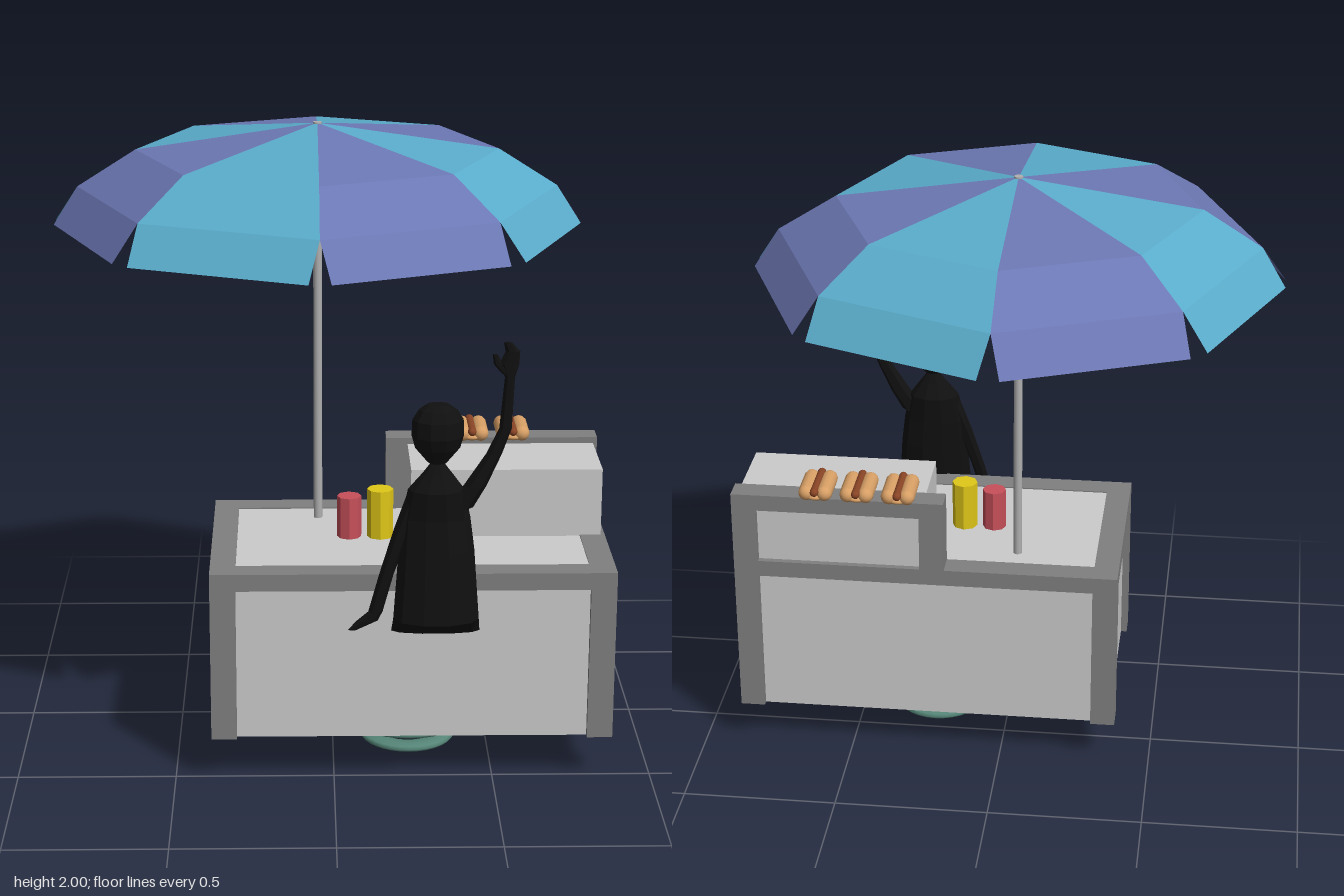
import * as THREE from 'three';

const mat = (color, extra = {}) => new THREE.MeshStandardMaterial({ color, ...extra });

// Box given by its min and max corners
function box(parent, name, material, [x0, y0, z0], [x1, y1, z1]) {
  const m = new THREE.Mesh(new THREE.BoxGeometry(x1 - x0, y1 - y0, z1 - z0), material);
  m.position.set((x0 + x1) / 2, (y0 + y1) / 2, (z0 + z1) / 2);
  m.name = name;
  parent.add(m);
  return m;
}

// Closed loft through horizontal elliptical rings [y, cx, rx, cz, rz], bottom to top
function loft(rings, sides) {
  const pos = [], idx = [];
  for (const [y, cx, rx, cz, rz] of rings) {
    for (let j = 0; j < sides; j++) {
      const a = (j / sides) * Math.PI * 2;
      pos.push(cx + rx * Math.cos(a), y, cz + rz * Math.sin(a));
    }
  }
  for (let i = 0; i < rings.length - 1; i++) {
    for (let j = 0; j < sides; j++) {
      const k = (j + 1) % sides;
      const p = i * sides + j, q = i * sides + k;
      idx.push(p, p + sides, q, q, p + sides, q + sides);
    }
  }
  const top = (rings.length - 1) * sides;
  for (let j = 1; j < sides - 1; j++) {
    idx.push(0, j, j + 1);
    idx.push(top, top + j + 1, top + j);
  }
  const g = new THREE.BufferGeometry();
  g.setAttribute('position', new THREE.Float32BufferAttribute(pos, 3));
  g.setIndex(idx);
  g.computeVertexNormals();
  return g;
}

function makeCart() {
  const cart = new THREE.Group();
  cart.name = 'cart';
  const panel = mat(0xcccccc), frame = mat(0x808080);
  const X0 = -0.385, X1 = 0.873, Z0 = -0.16, Z1 = 0.545, W = 0.08;
  const B = 0.15, R = 0.645, T = 0.7, H = 0.94, S = 0.18, I = 0.02, D = 0.04;

  // Corner posts
  for (const x of [X0, X1 - W]) for (const z of [Z0, Z1 - W])
    box(cart, 'cornerPost', frame, [x, B, z], [x + W, R, z + W]);
  // Counter rim
  for (const z of [Z0, Z1 - W]) box(cart, 'counterRail', frame, [X0, R, z], [X1, T, z + W]);
  for (const x of [X0, X1 - W]) box(cart, 'counterRail', frame, [x, R, Z0 + W], [x + W, T, Z1 - W]);
  // Recessed side panels and counter
  box(cart, 'frontPanel', panel, [X0 + W, B, Z1 - D], [X1 - W, R, Z1 - I]);
  box(cart, 'backPanel', panel, [X0 + W, B, Z0 + I], [X1 - W, R, Z0 + D]);
  box(cart, 'rightPanel', panel, [X0 + I, B, Z0 + W], [X0 + D, R, Z1 - W]);
  box(cart, 'leftPanel', panel, [X1 - D, B, Z0 + W], [X1 - I, R, Z1 - W]);
  box(cart, 'counterTop', panel, [X0 + W, R + 0.02, Z0 + W], [X1 - W, T - 0.004, Z1 - W]);
  // Raised back frame and the serving box in front of it
  for (const x of [S, X1 - W]) box(cart, 'raisedPost', frame, [x, T, Z0], [x + W, H - 0.055, Z0 + W]);
  box(cart, 'raisedRail', frame, [S, H - 0.055, Z0], [X1, H, Z0 + W]);
  box(cart, 'raisedPanel', panel, [S + W, T, Z0 + I], [X1 - W, H - 0.055, Z0 + W]);
  box(cart, 'servingBox', panel, [0.25, T - 0.004, Z0 + W], [0.86, 0.92, 0.195]);
  return cart;
}

function makeUmbrella() {
  const umbrella = new THREE.Group();
  umbrella.name = 'umbrella';
  const pole = new THREE.Mesh(new THREE.CylinderGeometry(0.014, 0.014, 1.31, 12), mat(0xb0b0b0));
  pole.position.y = 1.348;
  pole.name = 'pole';
  umbrella.add(pole);

  // One gore: apex, shoulder, rim, and a hanging flap narrower than its gore
  const at = (r, y, a) => [r * Math.cos(a), y, r * Math.sin(a)];
  const Q = Math.PI / 4, gap = 0.04;
  const pos = [
    ...at(0, 2, 0),
    ...at(0.57, 1.917, 0), ...at(0.57, 1.917, Q),
    ...at(0.755, 1.8, 0), ...at(0.755, 1.8, Q),
    ...at(0.83, 1.685, gap), ...at(0.83, 1.685, Q - gap),
  ];
  const gore = new THREE.BufferGeometry();
  gore.setAttribute('position', new THREE.Float32BufferAttribute(pos, 3));
  gore.setIndex([0, 2, 1, 1, 2, 3, 3, 2, 4, 3, 4, 5, 5, 4, 6]);
  gore.computeVertexNormals();
  const colors = [0x5aaccb, 0x6c78b4].map(c => mat(c, { flatShading: true, side: THREE.DoubleSide }));
  for (let k = 0; k < 8; k++) {
    const m = new THREE.Mesh(gore, colors[k % 2]);
    m.rotation.y = -k * Q;
    m.name = 'canopyPanel';
    umbrella.add(m);
  }
  umbrella.position.x = -0.045;
  return umbrella;
}

function makeFigure() {
  const figure = new THREE.Group();
  figure.name = 'figure';
  const black = mat(0x101010, { flatShading: true });
  const add = (name, geometry) => {
    const m = new THREE.Mesh(geometry, black);
    m.name = name;
    figure.add(m);
    return m;
  };
  add('body', loft([
    [0.53, 0.31, 0.136, 0.583, 0.03], [0.58, 0.31, 0.131, 0.612, 0.067],
    [0.8, 0.31, 0.115, 0.592, 0.062], [0.9, 0.307, 0.105, 0.582, 0.056],
    [0.99, 0.307, 0.085, 0.582, 0.062], [1.04, 0.31, 0.045, 0.582, 0.03],
    [1.07, 0.31, 0.022, 0.582, 0.016], [1.12, 0.31, 0.03, 0.582, 0.025],
  ], 10));
  add('head', loft([
    [1.075, 0.31, 0.03, 0.582, 0.025], [1.12, 0.31, 0.068, 0.582, 0.055],
    [1.16, 0.31, 0.079, 0.582, 0.069], [1.21, 0.31, 0.077, 0.582, 0.066],
    [1.24, 0.31, 0.058, 0.582, 0.045], [1.256, 0.31, 0.035, 0.582, 0.025],
  ], 10));
  add('raisedArm', loft([
    [0.93, 0.375, 0.045, 0.582, 0.03], [1.0, 0.425, 0.035, 0.582, 0.028],
    [1.1, 0.48, 0.024, 0.582, 0.02], [1.18, 0.513, 0.019, 0.582, 0.016],
    [1.34, 0.523, 0.015, 0.582, 0.012], [1.38, 0.52, 0.03, 0.582, 0.012],
    [1.42, 0.53, 0.022, 0.582, 0.012], [1.447, 0.515, 0.012, 0.582, 0.009],
  ], 6));
  add('raisedThumb', loft([
    [1.35, 0.515, 0.015, 0.582, 0.01], [1.38, 0.488, 0.014, 0.582, 0.01],
    [1.41, 0.478, 0.008, 0.582, 0.008],
  ], 6));
  add('loweredArm', loft([
    [0.54, 0.055, 0.014, 0.6, 0.009], [0.57, 0.1, 0.032, 0.6, 0.015],
    [0.6, 0.125, 0.022, 0.6, 0.015], [0.72, 0.158, 0.022, 0.595, 0.02],
    [0.86, 0.205, 0.026, 0.588, 0.026], [0.97, 0.25, 0.032, 0.582, 0.03],
    [1.02, 0.275, 0.025, 0.582, 0.025],
  ], 6));
  return figure;
}

function makeHotDog() {
  const dog = new THREE.Group();
  dog.name = 'hotDog';
  const bun = mat(0xd9a066), sausage = mat(0x8a4526);
  const capsule = (name, r, length, x, y, sy, material) => {
    const g = new THREE.CapsuleGeometry(r, length, 4, 12);
    g.rotateX(Math.PI / 2);
    const m = new THREE.Mesh(g, material);
    m.scale.y = sy;
    m.position.set(x, y, 0);
    m.name = name;
    dog.add(m);
  };
  for (const s of [-1, 1]) capsule('bunHalf', 0.026, 0.11, s * 0.029, 0.026, 1, bun);
  capsule('bunBase', 0.035, 0.09, 0, 0.015, 0.4, bun);
  capsule('sausage', 0.014, 0.15, 0, 0.036, 1, sausage);
  return dog;
}

export function createModel() {
  const model = new THREE.Group();
  model.name = 'foodCart';
  model.add(makeCart(), makeUmbrella(), makeFigure());

  // Food on the raised rail
  for (let i = 0; i < 3; i++) {
    const dog = makeHotDog();
    dog.position.set(0.325 + i * 0.134, 0.938, -0.11);
    model.add(dog);
  }
  // Sauce bottles
  for (const [name, color, x, r, h] of [
    ['redBottle', 0xc8505a, 0.053, 0.039, 0.137], ['yellowBottle', 0xe0c818, 0.152, 0.042, 0.16],
  ]) {
    const m = new THREE.Mesh(new THREE.CylinderGeometry(r, r, h, 8), mat(color, { flatShading: true }));
    m.position.set(x, 0.695 + h / 2, 0.183);
    m.name = name;
    model.add(m);
  }
  // Hover rings beneath the cart
  const green = mat(0x558577);
  for (const [y, radius, tube] of [[0.087, 0.165, 0.04], [0.017, 0.12, 0.035]]) {
    const g = new THREE.TorusGeometry(radius, tube, 10, 32);
    g.rotateX(Math.PI / 2);
    const m = new THREE.Mesh(g, green);
    m.scale.y = 0.42;
    m.position.set(0.244, y, 0.19);
    m.name = 'hoverRing';
    model.add(m);
  }
  return model;
}
